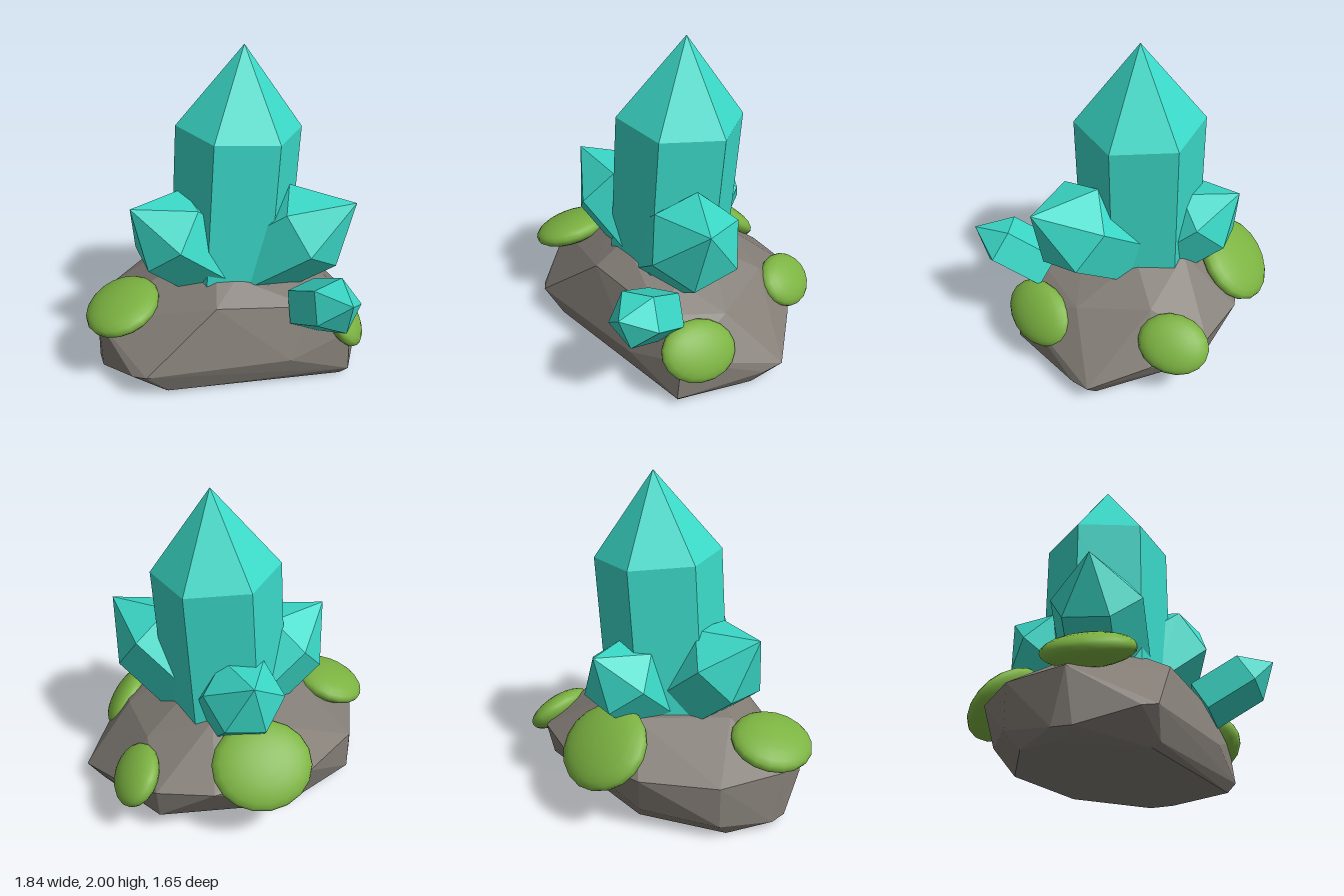
import * as THREE from 'three';
import { ConvexGeometry } from 'three/addons/geometries/ConvexGeometry.js';

const V = (a) => new THREE.Vector3(...a);

// Places an object with its y along `up` and its z as close as possible to `ref`
function orient(object, position, up, ref) {
  const y = V(up).normalize();
  const x = new THREE.Vector3().crossVectors(y, V(ref)).normalize();
  const z = new THREE.Vector3().crossVectors(x, y);
  object.quaternion.setFromRotationMatrix(new THREE.Matrix4().makeBasis(x, y, z));
  object.position.set(...position);
}

export function createModel() {
  const group = new THREE.Group();
  const material = (name, color) => {
    const m = new THREE.MeshStandardMaterial({ color });
    m.name = name;
    return m;
  };
  const crystalTeal = material('crystal teal', 0x3ad8c7);
  const rockGrey = material('rock grey', 0x827c75);
  const mossGreen = material('moss green', 0x7cb342);

  // Faceted boulder: bottom face, lower rim, shoulder, crown
  const rockPoints = [
    [-0.78, 0, 0.12], [-0.46, 0, 0.48], [0.64, 0, 0.46], [0.82, 0, 0.02],
    [0.82, 0, -0.14], [0.35, 0, -0.45], [-0.3, 0, -0.45], [-0.74, 0, -0.12],
    [-0.86, 0.05, 0.13], [-0.84, 0.05, 0.24], [-0.66, 0.16, 0.52], [-0.58, 0.18, 0.575],
    [-0.45, 0.03, 0.52], [0.68, 0.06, 0.5], [0.3, 0.2, 0.55], [0.92, 0.12, -0.14],
    [0.89, 0.1, -0.02], [0.7, 0.23, -0.43], [0.43, 0.14, -0.65], [-0.42, 0.14, -0.52],
    [-0.78, 0.1, -0.2], [-0.85, 0.36, 0.2], [-0.78, 0.36, -0.2], [-0.48, 0.38, -0.56],
    [0.1, 0.36, -0.735], [0.44, 0.35, -0.69], [0.68, 0.32, 0.47], [0.64, 0.45, 0.08],
    [-0.14, 0.55, 0.45], [0.44, 0.5, 0.43], [-0.47, 0.585, 0.1], [-0.12, 0.645, 0.28],
    [0, 0.645, 0.28], [0.02, 0.655, -0.15], [0.28, 0.645, -0.14], [0.35, 0.58, 0.2],
    [0.1, 0.635, -0.38], [-0.2, 0.61, -0.4], [0.5, 0.5, -0.35],
  ];
  const rock = new THREE.Mesh(new ConvexGeometry(rockPoints.map(V)), rockGrey);
  rock.name = 'rock';
  group.add(rock);

  // Pointed prisms: `at` is the centre of the shoulder ring, `ref` points to one corner
  const crystals = [
    { name: 'mainCrystal', at: [0.066, 1.505, -0.06], axis: [0.06, 1, -0.027], ref: [1, 0, 0], sides: 6, r: 0.383, tip: 0.495, shaft: 1.2 },
    { name: 'leftSideCrystal', at: [0.485, 0.932, 0.19], axis: [0.73, 0.6, 0.35], ref: [-0.065, -0.07, 0.275], sides: 6, r: 0.287, tip: 0.32, shaft: 0.55 },
    { name: 'rightSideCrystal', at: [-0.405, 0.93, 0.12], axis: [-0.72, 0.65, 0.24], ref: [0.085, -0.04, 0.27], sides: 6, r: 0.275, tip: 0.29, shaft: 0.5 },
    { name: 'backCrystal', at: [-0.085, 0.865, -0.45], axis: [-0.17, 0.68, -0.71], ref: [1, 0, 0], sides: 6, r: 0.245, tip: 0.253, shaft: 0.45 },
    { name: 'smallCrystal', at: [0.522, 0.665, 0.68], axis: [0.28, 0.5, 0.82], ref: [1, 0, 0], sides: 5, r: 0.168, tip: 0.185, shaft: 0.33 },
  ];
  for (const c of crystals) {
    const profile = [[0, -c.shaft], [c.r, -c.shaft], [c.r, 0], [0, c.tip]]
      .map(([x, y]) => new THREE.Vector2(x, y));
    const geometry = new THREE.LatheGeometry(profile, c.sides).toNonIndexed();
    geometry.computeVertexNormals(); // flat facets
    const mesh = new THREE.Mesh(geometry, crystalTeal);
    mesh.name = c.name;
    orient(mesh, c.at, c.axis, c.ref);
    group.add(mesh);
  }

  // Flattened moss cushions lying on the slopes; size = across, thickness, along ref
  const cushions = [
    { name: 'rightMoss', at: [-0.695, 0.485, 0.24], up: [-0.3, 0.95, 0.07], ref: [0, 0, 1], size: [0.235, 0.092, 0.26] },
    { name: 'leftMoss', at: [0.675, 0.33, 0.33], up: [0.8, 0.57, 0.15], ref: [0, 0.4, 1], size: [0.185, 0.085, 0.24] },
    { name: 'backLeftMoss', at: [0.565, 0.36, -0.53], up: [0.68, 0.7, -0.22], ref: [0, 0, 1], size: [0.175, 0.088, 0.215] },
    { name: 'backMoss', at: [-0.185, 0.48, -0.61], up: [-0.1, 0.74, -0.66], ref: [1, 0, -0.2], size: [0.27, 0.1, 0.303] },
  ];
  const cushionGeometry = new THREE.SphereGeometry(1, 18, 12);
  for (const c of cushions) {
    const mesh = new THREE.Mesh(cushionGeometry, mossGreen);
    mesh.name = c.name;
    orient(mesh, c.at, c.up, c.ref);
    mesh.scale.set(...c.size);
    group.add(mesh);
  }

  return group;
}
